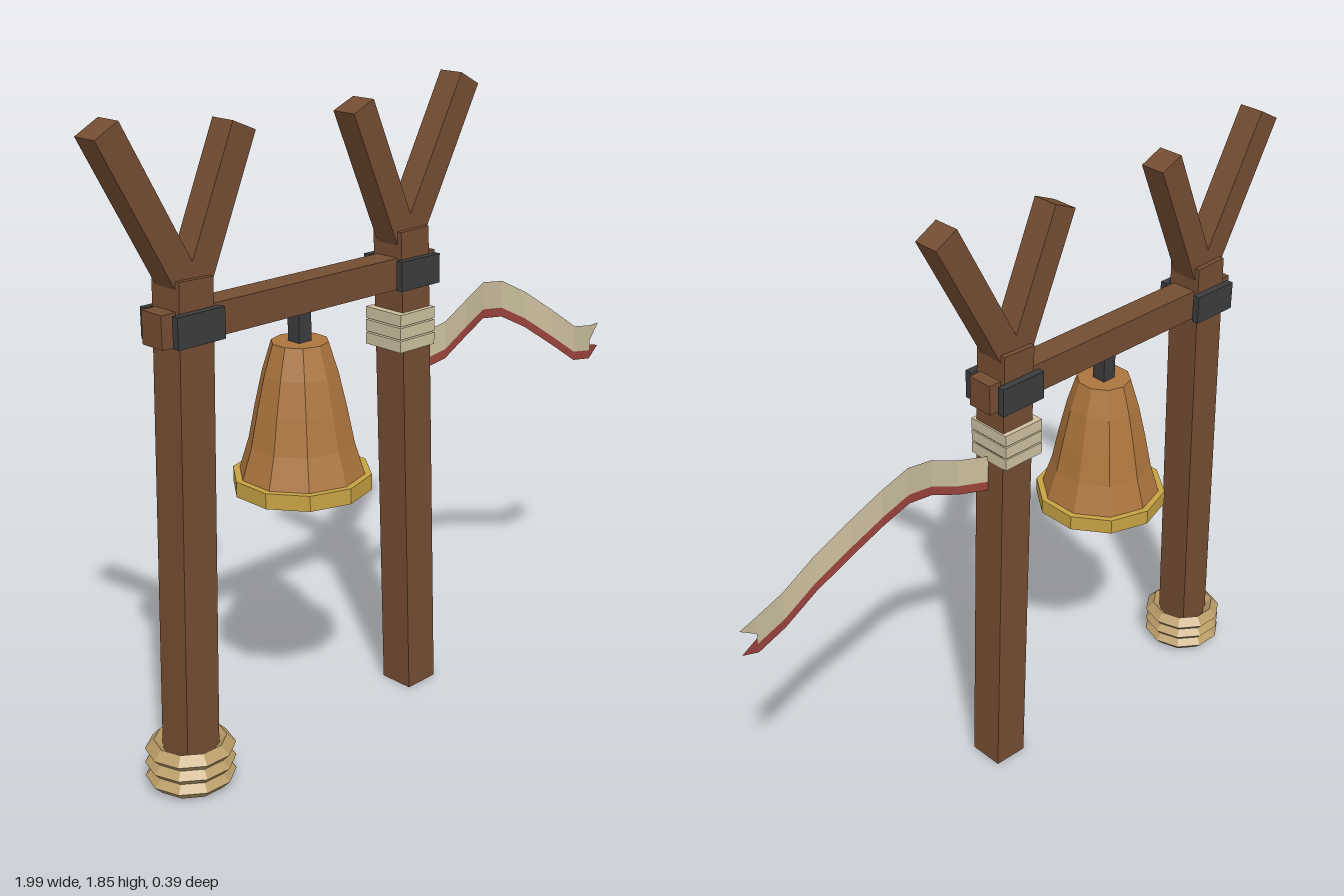
import * as THREE from 'three';

const mat = (name, color, side = THREE.FrontSide) =>
  Object.assign(new THREE.MeshStandardMaterial({ color, side, flatShading: true }), { name });

export function createModel() {
  const wood = mat('wood', 0x744d32);
  const iron = mat('iron', 0x3b3c3d);
  const bronze = mat('bronze', 0xac753d, THREE.DoubleSide);
  const gold = mat('gold', 0xc6a243, THREE.DoubleSide);
  const rope = mat('rope', 0xb89b66);
  const cream = mat('cream cloth', 0xcdc09f, THREE.DoubleSide);
  const red = mat('red cloth', 0x9c443c, THREE.DoubleSide);

  const group = new THREE.Group();
  const cx = -0.335; // mirror line of the frame

  const add = (name, geometry, material, x = 0, y = 0, z = 0) => {
    const mesh = new THREE.Mesh(geometry, material);
    mesh.name = name;
    mesh.position.set(x, y, z);
    group.add(mesh);
    return mesh;
  };
  const box = (name, material, w, h, d, x, y, z = 0) =>
    add(name, new THREE.BoxGeometry(w, h, d), material, x, y, z);

  // Square timber between two points in the frame's plane
  const timber = (name, size, [x0, y0], [x1, y1]) => {
    const length = Math.hypot(x1 - x0, y1 - y0);
    const mesh = box(name, wood, size, length, size, (x0 + x1) / 2, (y0 + y1) / 2);
    mesh.rotation.z = -Math.atan2(x1 - x0, y1 - y0);
  };

  // Leaning posts with forked tops and iron plates front and back
  for (const s of [-1, 1]) {
    const at = (x, y) => [cx + s * x, y];
    timber('post', 0.11, at(0.43, 0.008), at(0.39, 1.44));
    timber('outerBranch', 0.08, at(0.4, 1.42), at(0.625, 1.835));
    timber('innerBranch', 0.08, at(0.375, 1.41), at(0.208, 1.8));
    for (const z of [-0.065, 0.065]) {
      box('ironPlate', iron, 0.152, 0.085, 0.022, cx + s * 0.394, 1.318, z);
    }
  }
  box('crossbeam', wood, 0.98, 0.09, 0.08, cx - 0.003, 1.318);

  // Bell: hollow bronze body with a gold rim
  box('hanger', iron, 0.045, 0.1, 0.045, cx, 1.23);
  const lathe = (name, points, material) => add(name,
    new THREE.LatheGeometry(points.map(([r, y]) => new THREE.Vector2(r, y)), 10), material, cx);
  lathe('bellBody', [
    [0.188, 0.766], [0.165, 0.81], [0.13, 0.9], [0.108, 1.0], [0.085, 1.1], [0.001, 1.16],
  ], bronze);
  lathe('bellShell', [
    [0.178, 0.81], [0.15, 0.9], [0.13, 1.0], [0.107, 1.1], [0.08, 1.187], [0, 1.187],
  ], bronze);
  lathe('bellRim', [[0.188, 0.765], [0.197, 0.765], [0.197, 0.81], [0.176, 0.81]], gold);

  // Rope coils around the foot of one post
  for (let i = 0; i < 3; i++) {
    const coil = add('ropeCoil', new THREE.TorusGeometry(0.1, 0.025, 4, 10), rope,
      -0.765 + i * 0.001, 0.037 + i * 0.041);
    coil.rotation.x = -Math.PI / 2;
  }

  // Cloth wraps around the other post
  for (let i = 0; i < 3; i++) {
    box('clothWrap', cream, 0.138, 0.034, 0.14, 0.053, 1.112 + i * 0.0385);
  }

  // Streamer: [x, top edge y] stations, with a red stripe along the bottom
  const stations = [
    [0.09, 1.103], [0.13, 1.11], [0.22, 1.13], [0.32, 1.178], [0.42, 1.207], [0.52, 1.19],
    [0.62, 1.138], [0.73, 1.06], [0.83, 0.99], [0.93, 0.97],
  ];
  const wave = (x) => 0.022 * Math.sin((x - 0.1) * 11);
  const strip = (name, material, from, to, tail) => {
    const pos = [];
    const quad = (a, b, c, d) => pos.push(...a, ...b, ...c, ...a, ...c, ...d);
    const p = (x, y) => [x, y, wave(x)];
    for (let i = 0; i + 1 < stations.length; i++) {
      const [[x0, y0], [x1, y1]] = [stations[i], stations[i + 1]];
      quad(p(x0, y0 - to), p(x1, y1 - to), p(x1, y1 - from), p(x0, y0 - from));
    }
    // Swallowtail end
    for (const t of tail) pos.push(...t.flatMap(([x, y]) => p(x, y)));
    const geometry = new THREE.BufferGeometry();
    geometry.setAttribute('position', new THREE.Float32BufferAttribute(pos, 3));
    geometry.computeVertexNormals();
    add(name, geometry, material);
  };
  strip('streamer', cream, 0, 0.085, [[[0.93, 0.918], [0.99, 0.965], [0.93, 0.97]]]);
  strip('streamerStripe', red, 0.085, 0.113, [[[0.93, 0.857], [0.99, 0.887], [0.93, 0.905]]]);

  return group;
}
